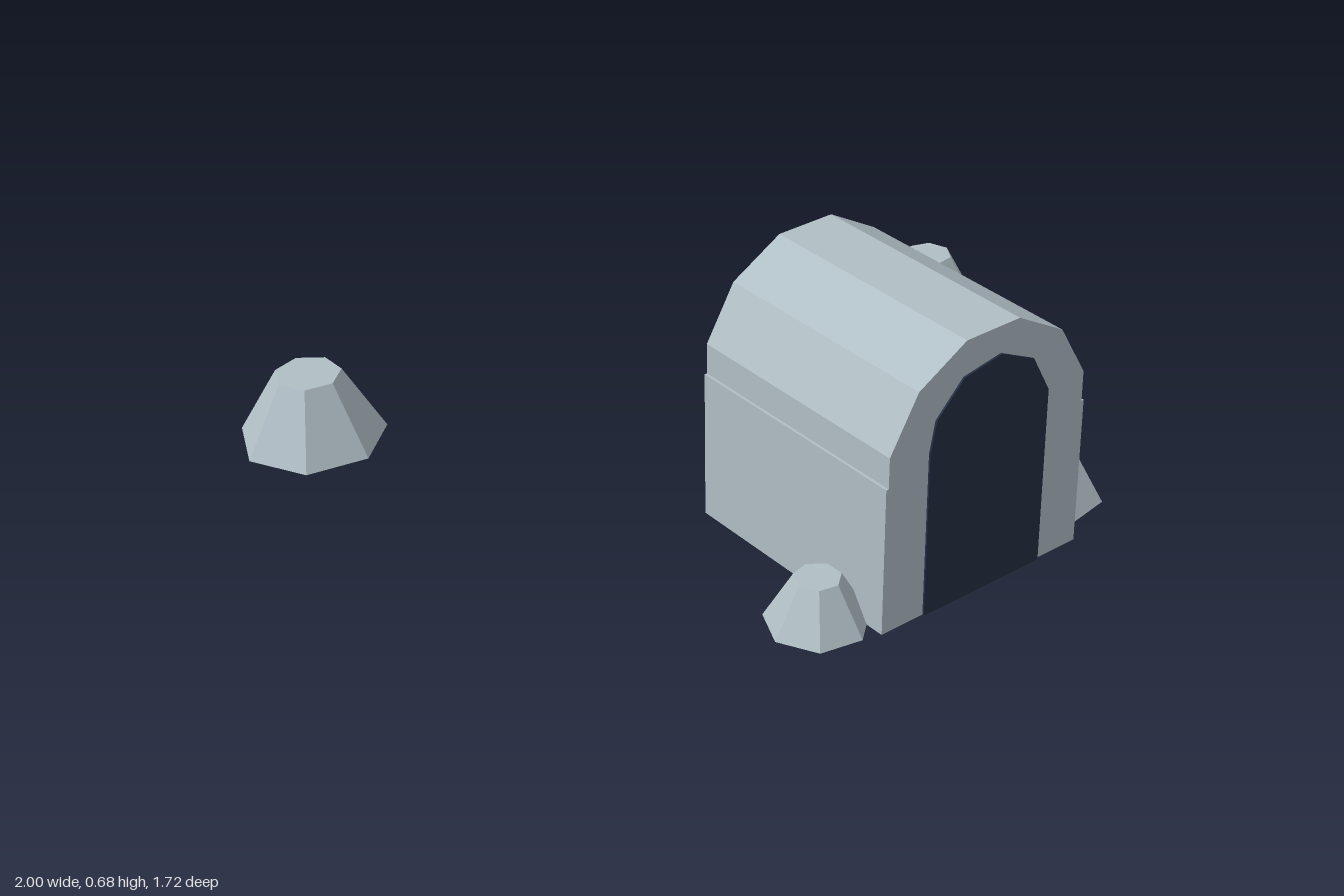
import * as THREE from 'three';

export function createModel() {
  const group = new THREE.Group();
  const ice = new THREE.MeshStandardMaterial({ color: 0xb0bec5, flatShading: true });
  ice.name = 'paleGrey';
  const dark = new THREE.MeshStandardMaterial({ color: 0x242f43, flatShading: true });
  dark.name = 'darkNavy';

  const add = (name, geometry, material, x, y, z) => {
    const mesh = new THREE.Mesh(geometry, material);
    mesh.name = name;
    mesh.position.set(x, y, z);
    group.add(mesh);
    return mesh;
  };

  // Points on a faceted arc, angles in degrees
  const arc = (r, cy, start, step, count) =>
    Array.from({ length: count }, (_, i) => {
      const a = THREE.MathUtils.degToRad(start + i * step);
      return new THREE.Vector2(r * Math.cos(a), cy + r * Math.sin(a));
    });
  const extrude = (points, depth) =>
    new THREE.ExtrudeGeometry(new THREE.Shape(points), { depth, bevelEnabled: false });
  const v = (x, y) => new THREE.Vector2(x, y);

  const cx = 0.034;
  const back = 0.217;
  const depth = 0.634;

  // Shelter: straight walls with a slightly narrower vaulted roof
  add('walls', new THREE.BoxGeometry(0.604, 0.385, depth), ice, cx, 0.1925, back + depth / 2);
  add('vaultedRoof', extrude([v(-0.295, 0.385), v(0.295, 0.385), ...arc(0.305, 0.385, 15, 30, 6)], depth),
    ice, cx, 0, back);

  // Doorway: thin dark plate with a ten-sided arch, slightly turned
  add('doorway', extrude([v(-0.179, 0), v(0.179, 0), v(0.179, 0.43),
    ...arc(0.182, 0.43, 10, 36, 5), v(-0.179, 0.43)], 0.005), dark, cx, 0, back + depth);

  // Rocks: seven-sided frustums [x, z, radius, height, turn in degrees]
  const rocks = [
    [-0.814, -0.676, 0.187, 0.18, 15],
    [0.858, -0.232, 0.14, 0.137, 32.5],
    [0.415, 0.655, 0.154, 0.15, 35.5],
    [-0.345, 0.718, 0.125, 0.12, 14.5],
  ];
  rocks.forEach(([x, z, r, h, turn], i) => {
    const rock = add('rock' + (i + 1), new THREE.CylinderGeometry(r * 0.45, r, h, 7), ice, x, h / 2, z);
    rock.rotation.y = THREE.MathUtils.degToRad(turn);
  });

  return group;
}
